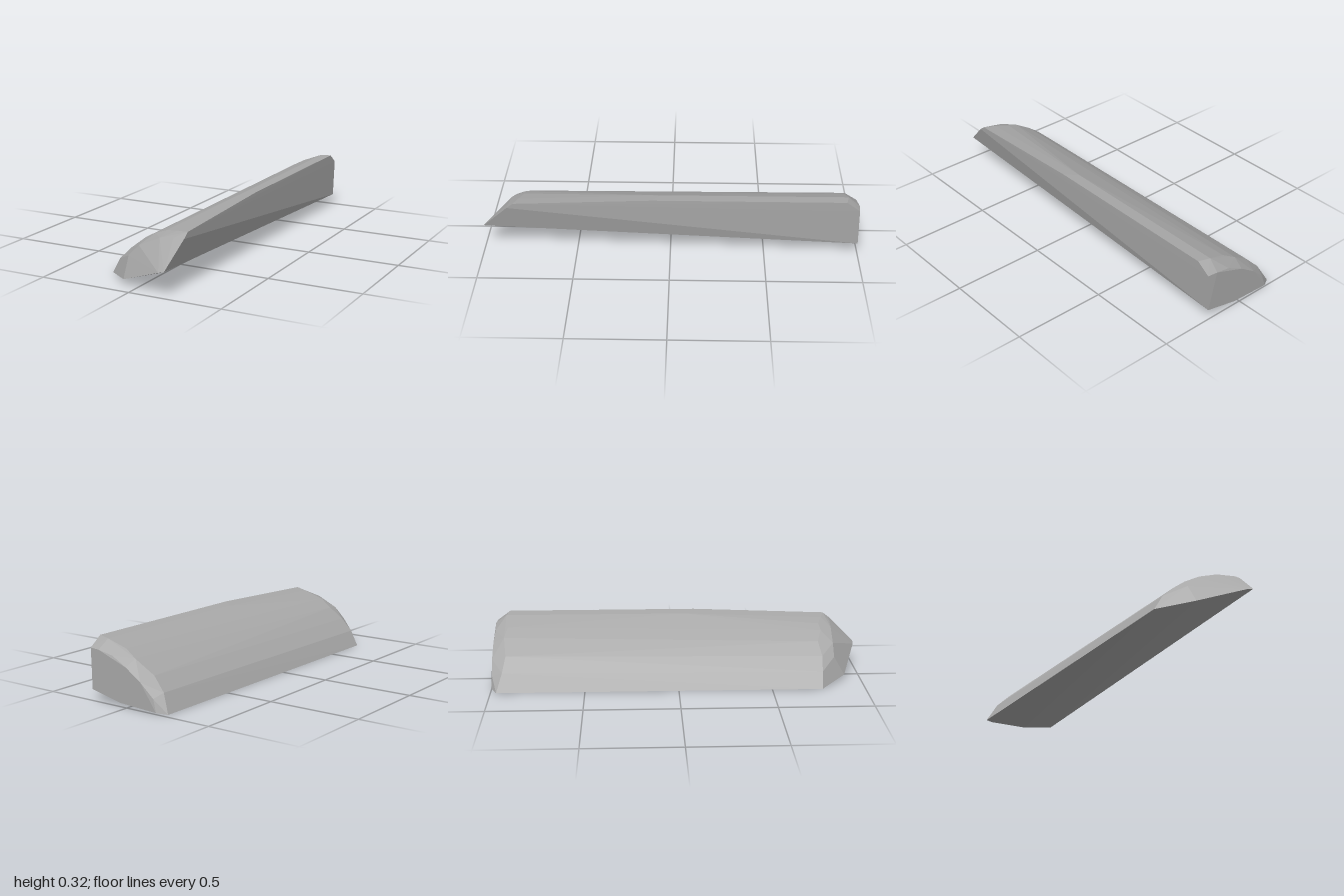
import * as THREE from 'three';
import { ConvexGeometry } from 'three/addons/geometries/ConvexGeometry.js';

export function createModel() {
  const model = new THREE.Group();
  const greyStone = new THREE.MeshStandardMaterial({ color: 0xa8a8a8 });
  greyStone.flatShading = true;

  const points = [];
  const add = (list) => list.forEach(([x, y, z]) => points.push(new THREE.Vector3(x, y, z)));

  // rounded upper profile at the back, from the thin edge to the tall edge
  const arch = [[-0.235, 0.003], [-0.185, 0.097], [-0.115, 0.167], [-0.01, 0.238],
    [0.06, 0.275], [0.165, 0.315], [0.232, 0.321]];
  add(arch.map(([x, y], i) => [x, y, i ? -0.925 - 0.015 * (i % 2) : -0.97]));

  // flat back end, inset behind the chamfer
  add([[-0.185, 0.01, -1], [-0.165, 0.075, -0.995], [-0.09, 0.145, -1], [0.0, 0.205, -1],
    [0.09, 0.25, -0.995], [0.175, 0.268, -1], [0.231, 0.27, -0.995],
    [0.222, 0.062, -1], [0.04, 0.022, -1]]);

  // crest of the tall edge, where the top begins to drop
  add([[0.232, 0.321, 0.1], [0.165, 0.314, 0.05]]);

  // shoulder at the front
  add([[-0.235, 0.003, 0.77], [-0.188, 0.085, 0.775], [-0.12, 0.15, 0.78], [-0.045, 0.21, 0.765],
    [0.03, 0.25, 0.79], [0.09, 0.271, 0.785], [0.165, 0.284, 0.81], [0.232, 0.292, 0.83]]);

  // bevel and pointed tip
  add([[-0.09, 0.135, 0.85], [-0.03, 0.195, 0.85], [0.09, 0.25, 0.855], [0.17, 0.262, 0.86],
    [0.231, 0.265, 0.865], [-0.085, 0.03, 0.91], [0.165, 0.126, 0.998], [0.198, 0.135, 1]]);

  const slab = new THREE.Mesh(new ConvexGeometry(points), greyStone);
  slab.name = 'bevelledSlab';
  model.add(slab);
  return model;
}
